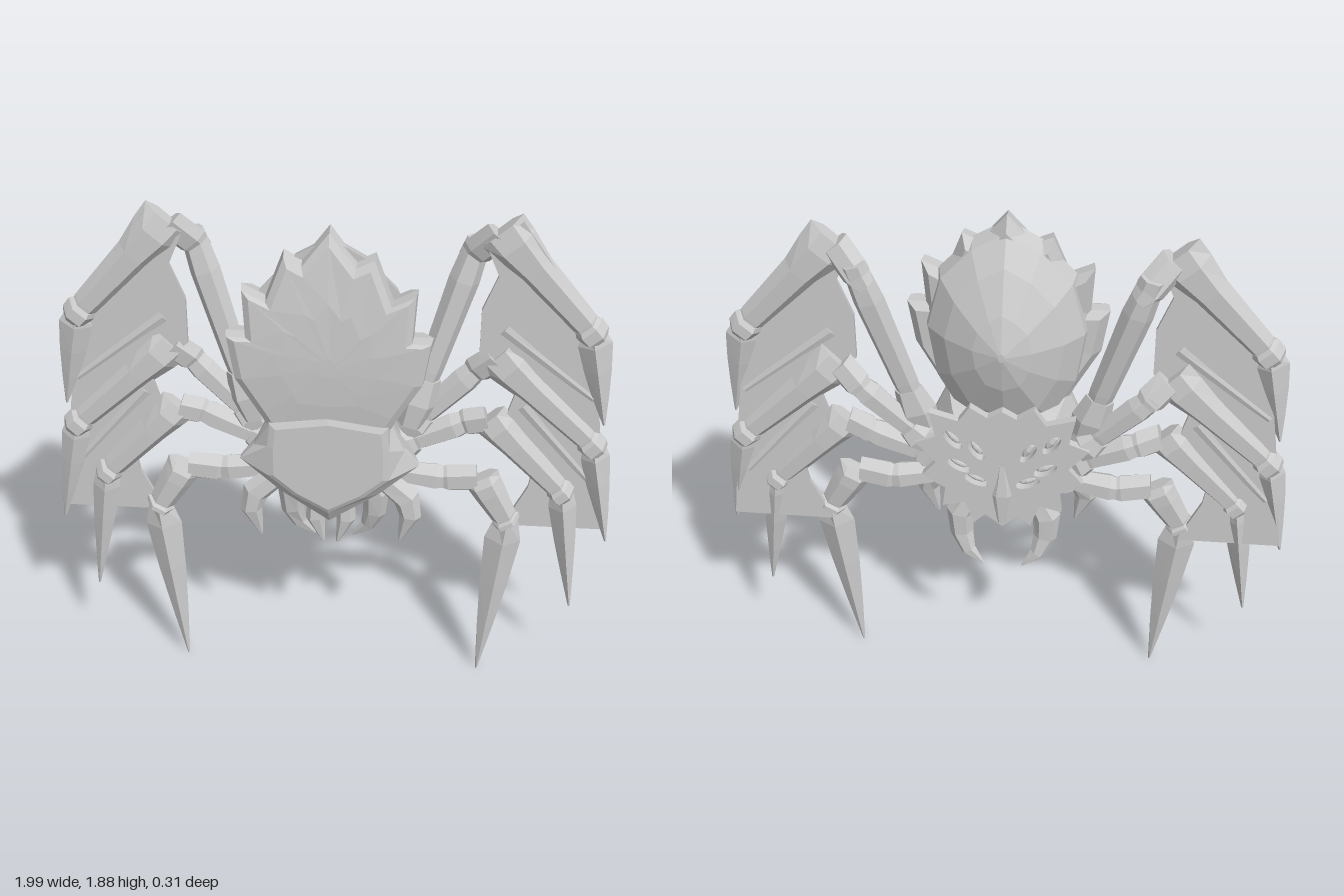
import * as THREE from 'three';

const mat = new THREE.MeshStandardMaterial({ color: 0xcccccc, flatShading: true, side: THREE.DoubleSide });

// Skin a list of rings (each counter-clockwise about the direction of travel) and cap both ends.
function skin(rings) {
  const n = rings[0].length, pos = rings.flat(2), idx = [];
  for (let i = 0; i < rings.length - 1; i++) {
    for (let j = 0; j < n; j++) {
      const a = i * n + j, b = i * n + (j + 1) % n;
      idx.push(a, b, a + n, b, b + n, a + n);
    }
  }
  [0, rings.length - 1].forEach((r, end) => {
    const c = pos.length / 3;
    for (let k = 0; k < 3; k++) pos.push(rings[r].reduce((s, p) => s + p[k], 0) / n);
    for (let j = 0; j < n; j++) {
      const a = r * n + j, b = r * n + (j + 1) % n;
      end ? idx.push(a, b, c) : idx.push(b, a, c);
    }
  });
  const g = new THREE.BufferGeometry();
  g.setAttribute('position', new THREE.Float32BufferAttribute(pos, 3));
  g.setIndex(idx);
  const flat = g.toNonIndexed();
  flat.computeVertexNormals();
  return flat;
}

function add(parent, name, geo) {
  const m = new THREE.Mesh(geo, mat);
  m.name = name;
  parent.add(m);
  return m;
}

// Faceted limb through points [x, y, z, halfWidth, halfDepth], mirrored by side s.
function limb(points, s, sides = 6) {
  const p = points.map(([x, ...r]) => [x * s, ...r]);
  return skin(p.map((q, i) => {
    const a = p[Math.max(i - 1, 0)], b = p[Math.min(i + 1, p.length - 1)];
    const l = Math.hypot(b[0] - a[0], b[1] - a[1]);
    const nx = -(b[1] - a[1]) / l, ny = (b[0] - a[0]) / l;
    return Array.from({ length: sides }, (_, j) => {
      const t = j / sides * Math.PI * 2, c = Math.cos(t) * q[3];
      return [q[0] + nx * c, q[1] + ny * c, q[2] + Math.sin(t) * q[4]];
    });
  }));
}

// Complete a right-half outline (bottom to top) with its mirror image.
const whole = half => [...half, ...half.filter(p => p[0] > 0).reverse().map(([x, y]) => [-x, y])];
const ring = (outline, z, k = 1, cy = 0) => outline.map(([x, y]) => {
  const yy = cy + (y - cy) * k;
  return [x * k, yy, typeof z === 'function' ? z(yy) : z];
});
const toShape = pts => new THREE.Shape(pts.map(p => new THREE.Vector2(...p)));
const slab = (shape, z, depth) =>
  new THREE.ExtrudeGeometry(shape, { depth, bevelEnabled: false }).translate(0, 0, z);

function buildAbdomen(g) {
  // Spiked front shield, gently bowed along its height
  const shield = whole([[0, 1.1], [0.2, 1.12], [0.235, 1.19], [0.32, 1.34], [0.345, 1.5], [0.28, 1.5],
    [0.29, 1.67], [0.21, 1.63], [0.15, 1.79], [0.09, 1.76], [0, 1.875]]);
  const bow = z => y => z - 0.05 * ((y - 1.4) / 0.47) ** 2;
  add(g, 'abdomenShield', skin([ring(shield, bow(0.05), 0.9, 1.4), ring(shield, bow(0.1)),
    ring(shield, bow(0.145), 0.98, 1.4), ring(shield, bow(0.16), 0.9, 1.4), ring(shield, bow(0.162), 0.5, 1.4), ring(shield, bow(0.162), 0.1, 1.4)]));
  // Domed back
  const dome = whole([[0, 1.02], [0.16, 1.08], [0.25, 1.25], [0.28, 1.45], [0.23, 1.65], [0.12, 1.77], [0, 1.84]]);
  add(g, 'abdomenDome', skin([[-0.15, 0.04], [-0.115, 0.36], [-0.05, 0.72], [0.02, 0.95], [0.08, 1]]
    .map(([z, k]) => ring(dome, z, k, 1.45))));
}

function buildThorax(g) {
  // Body swelling between the back mask and the front plate
  const wide = whole([[0, 0.75], [0.17, 0.87], [0.31, 1.0], [0.26, 1.06], [0.21, 1.17], [0, 1.19]]);
  const plate = whole([[0, 0.81], [0.12, 0.88], [0.21, 0.96], [0.21, 1.08], [0.2, 1.17], [0, 1.2]]);
  add(g, 'thorax', skin([ring(wide, -0.1, 0.75, 0.98), ring(wide, -0.02, 0.88, 0.98), ring(wide, 0.09),
    ring(wide, 0.115), ring(plate, 0.155), ring(plate, 0.163, 0.9, 1.0)]));
  // Jagged mask with slit eye sockets
  const mask = toShape(whole([[0, 0.72], [0.06, 0.77], [0.1, 0.73], [0.13, 0.82], [0.21, 0.8], [0.2, 0.88],
    [0.28, 0.93], [0.23, 0.99], [0.3, 1.07], [0.23, 1.1], [0.25, 1.2], [0.15, 1.17], [0.11, 1.23], [0.05, 1.19], [0, 1.22]]));
  const eyes = [[0.09, 0.92, 0.4], [0.15, 0.98, 0.5], [0.09, 1.05, 1.0], [0.17, 1.09, 0.9]];
  for (const s of [1, -1]) for (const [x, y, tilt] of eyes) {
    mask.holes.push(new THREE.Path().absellipse(s * x, y, 0.045, 0.02, 0, Math.PI * 2, true, s * tilt));
    const eye = add(g, 'eye', new THREE.SphereGeometry(1, 8, 6));
    eye.scale.set(0.036, 0.013, 0.015);
    eye.rotation.z = s * tilt;
    eye.position.set(s * x, y, -0.108);
  }
  add(g, 'faceMask', slab(mask, -0.13, 0.03));
  add(g, 'noseRidge', limb([[0, 0.74, -0.12, 0.02, 0.02], [0, 0.86, -0.125, 0.04, 0.02], [0, 1.0, -0.12, 0.01, 0.01]], 1));
}

// Fangs, palps and small mouth hooks
function buildMouth(g, s) {
  add(g, 'fang', limb([[0.11, 0.83, -0.07, 0.04, 0.04], [0.155, 0.74, -0.08, 0.05, 0.04],
    [0.15, 0.65, -0.085, 0.042, 0.03], [0.125, 0.58, -0.1, 0.028, 0.02], [0.07, 0.525, -0.11, 0.004, 0.004]], s));
  add(g, 'palp', limb([[0.2, 0.87, 0.03, 0.045, 0.04], [0.27, 0.81, 0.04, 0.05, 0.04],
    [0.285, 0.74, 0.05, 0.04, 0.03], [0.25, 0.63, 0.05, 0.005, 0.005]], s));
  add(g, 'mouthHook', limb([[0.05, 0.8, 0.03, 0.035, 0.035], [0.055, 0.71, 0.04, 0.035, 0.03], [0.025, 0.61, 0.05, 0.005, 0.005]], s));
}

// hip, elbow, knee, ankle and tip; thigh, peak and shin are half widths at thigh, knee and shin
const legs = [
  { hip: [0.28, 1.1, -0.05], elbow: [0.465, 1.71, -0.11], knee: [0.555, 1.815, -0.06], ankle: [0.875, 1.46, -0.05], tip: [0.944, 1.1, -0.04], thigh: 0.053, peak: 0.092, shin: 0.064, claw: 0.062 },
  { hip: [0.27, 1.04, -0.07], elbow: [0.49, 1.27, -0.09], knee: [0.565, 1.345, -0.06], ankle: [0.915, 1.01, -0.05], tip: [0.992, 0.61, -0.03], thigh: 0.05, peak: 0.082, shin: 0.06, claw: 0.053 },
  { hip: [0.24, 0.97, -0.06], elbow: [0.46, 1.07, -0.07], knee: [0.55, 1.1, -0.05], ankle: [0.82, 0.81, -0.04], tip: [0.885, 0.31, -0.02], thigh: 0.052, peak: 0.072, shin: 0.056, claw: 0.05 },
  { hip: [0.2, 0.88, -0.03], elbow: [0.4, 0.85, -0.04], knee: [0.53, 0.865, -0.03], ankle: [0.63, 0.69, -0.02], tip: [0.555, 0, 0], thigh: 0.052, peak: 0.07, shin: 0.06, claw: 0.066 },
];
const mix = (a, b, t) => a.map((v, i) => v + (b[i] - v) * t);

function buildLeg(g, { hip, elbow, knee, ankle, tip, thigh, peak, shin, claw }, s) {
  const leg = new THREE.Group();
  leg.name = 'leg';
  g.add(leg);
  const piece = (name, a, b, stops, sides) =>
    add(leg, name, limb(stops.map(([t, hw, hd]) => [...mix(a, b, t), hw, hd]), s, sides));
  piece('hipJoint', hip, elbow, [[-0.05, 0.05, 0.04], [0.1, 0.068, 0.055], [0.25, 0.05, 0.04]]);
  piece('thigh', hip, elbow, [[0.1, 0.035, 0.03], [0.3, thigh * 0.85, 0.04], [0.85, thigh, 0.048], [1.08, thigh * 0.8, 0.035]]);
  piece('kneeJoint', elbow, knee, [[-0.25, 0.035, 0.03], [0.1, 0.055, 0.045], [0.9, 0.055, 0.04]]);
  piece('shin', knee, ankle, [[-0.02, peak, 0.03], [0.12, peak * 0.92, 0.05], [0.35, shin, 0.05], [0.9, shin * 0.78, 0.04], [1, shin * 0.6, 0.035]]);
  piece('ankleCollar', knee, ankle, [[0.92, shin * 0.75, 0.045], [0.95, shin * 0.9, 0.058], [1.03, shin * 0.85, 0.058], [1.07, shin * 0.6, 0.04]]);
  piece('claw', ankle, tip, [[-0.02, 0.04, 0.04], [0.12, claw, 0.045], [0.4, claw * 0.78, 0.036],
    [0.7, claw * 0.45, 0.022], [1, 0.004, 0.006]], 4);
}

// Thin web joining the three upper legs
function buildWeb(g, s) {
  const edge = [[0.5, 1.78], [0.62, 1.86], [0.87, 1.5], [0.93, 1.1], [0.985, 0.65], [0.62, 0.65], [0.7, 0.82], [0.71, 0.88],
    [0.66, 0.95], [0.6, 1.1], [0.64, 1.24], [0.5, 1.36], [0.5, 1.53], [0.55, 1.66]];
  add(g, 'legWeb', slab(toShape(edge.map(([x, y]) => [s * x, y])), -0.06, 0.016));
  // Low folds fanning across the web
  for (const [a, b] of [[[0.58, 1.46], [0.9, 1.2]], [[0.66, 1.16], [0.92, 0.85]]]) {
    add(g, 'webFold', limb([[...a, -0.052, 0.05, 0.014], [...b, -0.052, 0.03, 0.012]], s, 4));
  }
}

export function createModel() {
  const model = new THREE.Group();
  model.name = 'spider';
  buildAbdomen(model);
  buildThorax(model);
  for (const s of [1, -1]) {
    buildMouth(model, s);
    legs.forEach(l => buildLeg(model, l, s));
    buildWeb(model, s);
  }
  return model;
}
